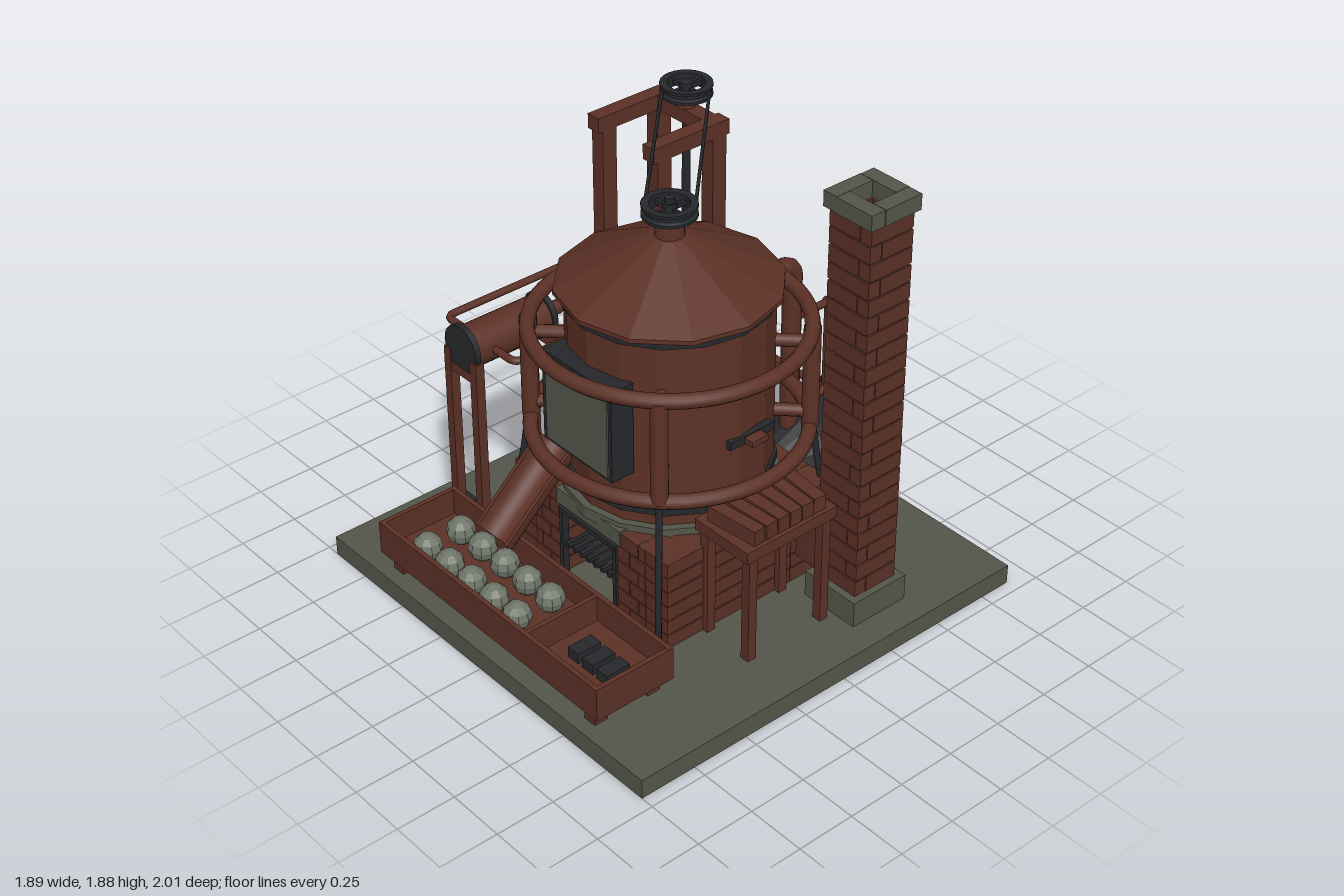
import * as THREE from 'three';

const material = (name, color) => {
  const m = new THREE.MeshStandardMaterial({ color });
  m.name = name;
  return m;
};
const V = (x, y, z) => new THREE.Vector3(x, y, z);
const flat = (g) => {
  const f = g.index ? g.toNonIndexed() : g;
  f.computeVertexNormals();
  return f;
};

export function createModel() {
  const root = new THREE.Group();
  const rust = material('rust', 0x5c3126);
  const stone = material('stone', 0x55564a);
  const iron = material('iron', 0x25282b);
  const ash = material('ash', 0x70766a);
  const CZ = 0.05; // drum axis

  const add = (name, geo, mat, x = 0, y = 0, z = 0) => {
    const m = new THREE.Mesh(geo, mat);
    m.name = name;
    m.position.set(x, y, z);
    root.add(m);
    return m;
  };
  // Box given by its extents
  const box = (name, mat, x0, x1, y0, y1, z0, z1) =>
    add(name, new THREE.BoxGeometry(x1 - x0, y1 - y0, z1 - z0), mat, (x0 + x1) / 2, (y0 + y1) / 2, (z0 + z1) / 2);
  // Round bar between two points
  const rod = (name, mat, a, b, r, sides = 10) => {
    const m = add(name, new THREE.CylinderGeometry(r, r, a.distanceTo(b), sides), mat);
    m.position.copy(a).add(b).multiplyScalar(0.5);
    m.quaternion.setFromUnitVectors(V(0, 1, 0), b.clone().sub(a).normalize());
    return m;
  };
  // Pipe through corner points with rounded bends
  const pipe = (name, mat, pts, r, bend = 0.04) => {
    const path = new THREE.CurvePath();
    let last = pts[0];
    for (let i = 1; i < pts.length - 1; i++) {
      const p = pts[i];
      const a = p.clone().add(pts[i - 1].clone().sub(p).setLength(bend));
      const b = p.clone().add(pts[i + 1].clone().sub(p).setLength(bend));
      path.add(new THREE.LineCurve3(last, a));
      path.add(new THREE.QuadraticBezierCurve3(a, p, b));
      last = b;
    }
    path.add(new THREE.LineCurve3(last, pts[pts.length - 1]));
    return add(name, new THREE.TubeGeometry(path, 150, r, 10), mat);
  };
  const lathe = (name, mat, pts, sides, x, y, z) =>
    add(name, flat(new THREE.LatheGeometry(pts.map((p) => new THREE.Vector2(...p)), sides)), mat, x, y, z);
  // Grooved wheel with hub and four spokes
  const pulley = (name, x, y, z, r) => {
    lathe(name + 'Rim', iron, [[r * 0.72, -0.025], [r, -0.025], [r, -0.013], [r * 0.88, -0.006], [r * 0.88, 0.006],
      [r, 0.013], [r, 0.025], [r * 0.72, 0.025], [r * 0.72, -0.025]], 24, x, y, z);
    add(name + 'Hub', new THREE.CylinderGeometry(r * 0.25, r * 0.25, 0.055, 12), iron, x, y, z);
    for (const a of [0, Math.PI / 2])
      add(name + 'Spoke', new THREE.BoxGeometry(r * 1.6, 0.02, r * 0.13), iron, x, y, z).rotation.y = a;
  };

  box('baseSlab', stone, -0.945, 0.945, 0, 0.085, -0.89, 1);

  // Brick firebox with an opening at the front
  for (let i = 0; i < 6; i++) {
    const y0 = 0.085 + i * 0.067, y1 = y0 + 0.061, cut = (i % 2) * 0.05;
    for (const s of [-1, 1]) {
      for (let k = 0; k < 4; k++) {
        const z0 = -0.38 + k * 0.21;
        const [a, b] = [s * 0.33, s * 0.455].sort((p, q) => p - q);
        box('fireboxBrick', rust, a, b, y0, y1, z0, z0 + 0.207);
      }
      const inner = 0.17, mid = 0.24 + cut;
      for (const [p, q] of [[inner, mid - 0.002], [mid + 0.002, 0.33]])
        box('fireboxBrick', rust, Math.min(s * p, s * q), Math.max(s * p, s * q), y0, y1, 0.34, 0.46);
    }
    for (let k = 0; k < 3; k++)
      box('fireboxBrick', rust, -0.33 + k * 0.22, -0.113 + k * 0.22, y0, y1, -0.38, -0.26);
  }
  for (const s of [-1, 1]) {
    box('mortar', stone, s * 0.39 - 0.055, s * 0.39 + 0.055, 0.085, 0.48, -0.37, 0.45);
    box('mortar', stone, s * 0.255 - 0.08, s * 0.255 + 0.08, 0.085, 0.48, 0.35, 0.45);
  }
  box('mortar', stone, -0.34, 0.34, 0.085, 0.48, -0.37, -0.27);
  box('hearthLintel', stone, -0.19, 0.19, 0.42, 0.49, 0.34, 0.465);
  box('hearthFrame', iron, -0.17, 0.17, 0.395, 0.415, 0.44, 0.475);
  for (const s of [-1, 1]) box('hearthFrame', iron, s * 0.16 - 0.01, s * 0.16 + 0.01, 0.085, 0.4, 0.44, 0.47);
  for (let i = 0; i < 7; i++) box('grateBar', iron, -0.135 + i * 0.042, -0.117 + i * 0.042, 0.24, 0.26, 0, 0.47);
  box('grateRail', iron, -0.16, 0.16, 0.225, 0.242, 0.42, 0.45);

  // Drum, bands and conical roof
  const drum = (name, mat, r, y0, y1, sides = 16) =>
    add(name, flat(new THREE.CylinderGeometry(r, r, y1 - y0, sides)), mat, 0, (y0 + y1) / 2, CZ);
  drum('drumCollar', stone, 0.43, 0.46, 0.51);
  drum('drumBody', rust, 0.4, 0.5, 1.35);
  drum('lowerBand', iron, 0.413, 0.56, 0.592);
  drum('upperBand', iron, 0.415, 1.303, 1.337);
  lathe('roof', rust, [[0, 1.335], [0.44, 1.335], [0.44, 1.353], [0.07, 1.545], [0, 1.55]], 12, 0, 0, CZ);
  add('roofNeck', new THREE.CylinderGeometry(0.055, 0.06, 0.08, 12), rust, 0, 1.57, CZ);
  rod('roofShaft', iron, V(0, 1.55, CZ), V(0, 1.7, CZ), 0.02);

  // Front door and side slot
  box('doorFrame', iron, -0.2, 0.2, 0.74, 1.14, 0.4, 0.505);
  box('doorPanel', stone, -0.175, 0.182, 0.755, 1.125, 0.505, 0.512);
  box('sideSlot', iron, 0.38, 0.412, 0.815, 0.85, -0.11, 0.11);
  box('sideHandle', rust, 0.4, 0.455, 0.82, 0.845, -0.04, 0.04);

  // Steam rings with uprights, stubs and splayed legs
  for (const y of [0.72, 1.165])
    add('steamRing', new THREE.TorusGeometry(0.535, 0.03, 12, 64), rust, 0, y, CZ).rotation.x = Math.PI / 2;
  for (const sx of [-1, 1]) for (const sz of [-1, 1]) {
    const at = (r, y) => V(sx * r * 0.7071, y, CZ + sz * r * 0.7071);
    rod('ringUpright', rust, at(0.535, 0.72), at(0.535, 1.165), 0.035, 12);
    for (const y of [0.785, 1.1]) rod('ringStub', rust, at(0.38, y), at(0.535, y), 0.026);
    pipe('drumLeg', iron, [at(0.55, 0.7), at(0.57, 0.55), at(0.62, 0.3), at(0.62, 0.085)], 0.013, 0.05);
  }

  // Blower drum at the back, hollow and tapered
  const blower = lathe('blower', iron, [[0, 0.47], [0.1, 0.47], [0.19, 0.59], [0.2, 0.62], [0.2, 0.945], [0.235, 0.945],
    [0.235, 1], [0.165, 1], [0.155, 0.65], [0, 0.63]], 24, 0, 0.255, 0);
  blower.rotation.x = -Math.PI / 2;
  for (let i = 0; i < 12; i++) {
    const a = (i / 12) * Math.PI * 2;
    rod('flangeBolt', iron, V(Math.cos(a) * 0.208, 0.255 + Math.sin(a) * 0.208, -0.935),
      V(Math.cos(a) * 0.208, 0.255 + Math.sin(a) * 0.208, -1.006), 0.012, 6);
  }
  box('blowerSaddle', stone, -0.225, 0.225, 0.085, 0.18, -0.84, -0.7);

  // Pipework
  pipe('mainSteamPipe', rust, [V(0, 0.38, -0.58), V(0, 1.165, -0.58), V(0, 1.165, -0.47)], 0.04, 0.06);
  pipe('feedPipe', rust, [V(0, 0.49, -0.58), V(0, 0.49, -0.78), V(-0.905, 0.49, -0.78), V(-0.905, 0.91, -0.78),
    V(-0.905, 0.91, 0.43), V(-0.72, 0.91, 0.43)], 0.016);
  rod('feedPipeBranch', rust, V(0, 0.91, -0.58), V(0, 0.91, -0.78), 0.016);
  pipe('feedPipeReturn', rust, [V(0, 0.91, -0.74), V(0, 0.91, -0.78), V(0, 0.49, -0.78), V(0, 0.49, -0.74)], 0.016, 0.03);
  rod('feedPipeUpper', rust, V(0, 0.91, -0.78), V(-0.02, 0.91, -0.78), 0.016);
  pipe('cylinderPipe', rust, [V(-0.62, 0.91, 0.43), V(-0.465, 0.91, 0.43), V(-0.465, 0.91, 0.08), V(-0.38, 0.91, 0.08)], 0.016);

  // Chimney of alternating brick courses with stone foot and cap
  const px = 0.685, pz = -0.3;
  const frame = (name, mat, half, t, y0, y1, flip) => {
    for (let k = 0; k < 4; k++) {
      const g = new THREE.BoxGeometry(half * 2 - t - 0.004, y1 - y0, t);
      g.translate((flip ? -1 : 1) * t / 2, 0, half - t / 2);
      add(name, g, mat, px, (y0 + y1) / 2, pz).rotation.y = (k * Math.PI) / 2;
    }
  };
  box('chimneyFoot', stone, 0.55, 0.82, 0.085, 0.197, -0.437, -0.163);
  for (let i = 0; i < 22; i++) frame('chimneyBrick', rust, 0.106, 0.055, 0.197 + i * 0.0738, 0.264 + i * 0.0738, i % 2);
  frame('chimneyMortar', stone, 0.1, 0.04, 0.19, 1.82, 0);
  frame('chimneyCap', stone, 0.123, 0.065, 1.82, 1.885, 0);
  box('flue', rust, 0.4, 0.6, 0.2, 0.39, -0.4, -0.2);

  // Side bench carrying bricks
  box('benchTop', rust, 0.43, 0.72, 0.56, 0.61, -0.15, 0.3);
  for (const x of [0.46, 0.69]) for (const z of [-0.11, 0.26])
    box('benchLeg', rust, x - 0.02, x + 0.02, 0.085, 0.56, z - 0.02, z + 0.02);
  for (let i = 0; i < 6; i++)
    add('benchBrick', new THREE.BoxGeometry(0.235, 0.065, 0.055), rust, 0.585, 0.643, -0.09 + i * 0.065).rotation.y = (i - 2.5) * 0.04;

  // Front tray with ash lumps and iron bars
  box('trayFloor', rust, -0.67, 0.66, 0.155, 0.185, 0.605, 0.97);
  for (const z of [0.605, 0.95]) box('traySide', rust, -0.67, 0.66, 0.155, 0.3, z, z + 0.02);
  for (const x of [-0.67, 0.225, 0.64]) box('trayEnd', rust, x, x + 0.02, 0.155, 0.299, 0.605, 0.97);
  for (const x of [-0.6, 0.58]) for (const z of [0.66, 0.91])
    box('trayLeg', rust, x - 0.03, x + 0.03, 0.085, 0.16, z - 0.03, z + 0.03);
  for (let i = 0; i < 5; i++) for (const z of [0.71, 0.87])
    add('ashLump', flat(new THREE.SphereGeometry(0.06, 9, 6)), ash, -0.49 + i * 0.14, 0.235, z).rotation.y = i;
  for (let i = 0; i < 3; i++) box('ironBar', iron, 0.335 + i * 0.083, 0.395 + i * 0.083, 0.185, 0.23, 0.73, 0.84);

  // Half-round chute from the drum to the tray
  const trough = new THREE.Shape();
  trough.absarc(0, 0, 0.098, Math.PI, Math.PI * 2, false);
  trough.absarc(0, 0, 0.082, Math.PI * 2, Math.PI, true);
  add('chute', new THREE.ExtrudeGeometry(trough, { depth: 0.43, bevelEnabled: false, curveSegments: 12 }), rust,
    -0.24, 0.66, 0.43).rotation.x = 0.74;

  // Drive frame
  for (const x of [-0.842, -0.508]) {
    for (const z of [-0.62, -0.335]) {
      box('framePost', rust, x - 0.033, x + 0.033, 0.085, 1.51, z - 0.035, z + 0.035);
      box('framePostFoot', iron, x - 0.055, x + 0.055, 0.085, 0.165, z - 0.06, z + 0.06);
    }
    box('frameTopBeam', rust, x - 0.033, x + 0.033, 1.51, 1.575, -0.67, -0.28);
    box('frameMidBeam', rust, x - 0.03, x + 0.03, 0.67, 0.735, -0.62, -0.335);
    const s = x < -0.675 ? 1 : -1;
    for (const z of [-0.62, -0.335])
      rod('frameBrace', rust, V(x, 0.54, z), V(x + s * 0.12, 0.69, z), 0.018, 4);
  }
  box('frameCrossBeam', rust, -0.875, -0.475, 1.511, 1.574, -0.655, -0.585);
  for (const z of [-0.62, -0.335]) box('frameMidCross', rust, -0.842, -0.508, 0.671, 0.734, z - 0.033, z + 0.033);

  // Shafts, pulleys and belts
  const sx = -0.675, s1 = -0.62, s2 = -0.34;
  rod('mainShaft', iron, V(sx, 0.7, s1), V(sx, 1.66, s1), 0.018);
  add('shaftBearing', new THREE.CylinderGeometry(0.04, 0.04, 0.06, 12), rust, sx, 1.6, s1);
  rod('crankShaft', iron, V(sx, 0.7, s2), V(sx, 0.88, s2), 0.02);
  pulley('framePulley', sx, 1.65, s1, 0.107);
  pulley('roofPulley', 0, 1.65, CZ, 0.107);
  pulley('lowerPulley', sx, 0.79, s1, 0.08);
  pulley('crankPulley', sx, 0.79, s2, 0.105);
  add('crankDisc', new THREE.CylinderGeometry(0.085, 0.085, 0.025, 20), iron, sx, 0.845, s2);
  for (const s of [-1, 1]) {
    rod('driveBelt', iron, V(sx + s * 0.066, 1.65, s1 - s * 0.066), V(s * 0.066, 1.65, CZ - s * 0.066), 0.007, 6);
    rod('lowerBelt', iron, V(sx + s * 0.068, 0.79, s1), V(sx + s * 0.09, 0.79, s2), 0.007, 6);
  }

  // Steam cylinder, connecting rod and stand
  rod('steamCylinder', rust, V(sx, 0.91, 0.13), V(sx, 0.91, 0.52), 0.088, 20);
  rod('cylinderCap', iron, V(sx, 0.915, 0.51), V(sx, 0.915, 0.535), 0.1, 20);
  rod('cylinderCap', iron, V(sx, 0.915, 0.125), V(sx, 0.915, 0.15), 0.095, 20);
  rod('pistonGland', rust, V(sx, 0.91, 0.05), V(sx, 0.91, 0.13), 0.03);
  rod('pistonRod', iron, V(sx, 0.91, 0), V(sx, 0.91, 0.13), 0.015);
  box('crosshead', iron, sx - 0.035, sx + 0.035, 0.88, 0.94, -0.02, 0.03);
  rod('connectingRod', iron, V(sx, 0.91, 0), V(-0.615, 0.88, -0.3), 0.014);
  rod('crankPin', iron, V(-0.615, 0.84, -0.3), V(-0.615, 0.9, -0.3), 0.016);
  for (const x of [-0.757, -0.593]) for (const z of [0.13, 0.52]) {
    box('cylinderPost', rust, x - 0.02, x + 0.02, 0.085, 0.885, z - 0.02, z + 0.02);
    box('cylinderPostFoot', iron, x - 0.05, x + 0.05, 0.085, 0.147, z - 0.055, z + 0.055);
  }
  for (const z of [0.13, 0.52]) box('cylinderCradle', rust, -0.757, -0.593, 0.79, 0.83, z - 0.018, z + 0.018);

  return root;
}
